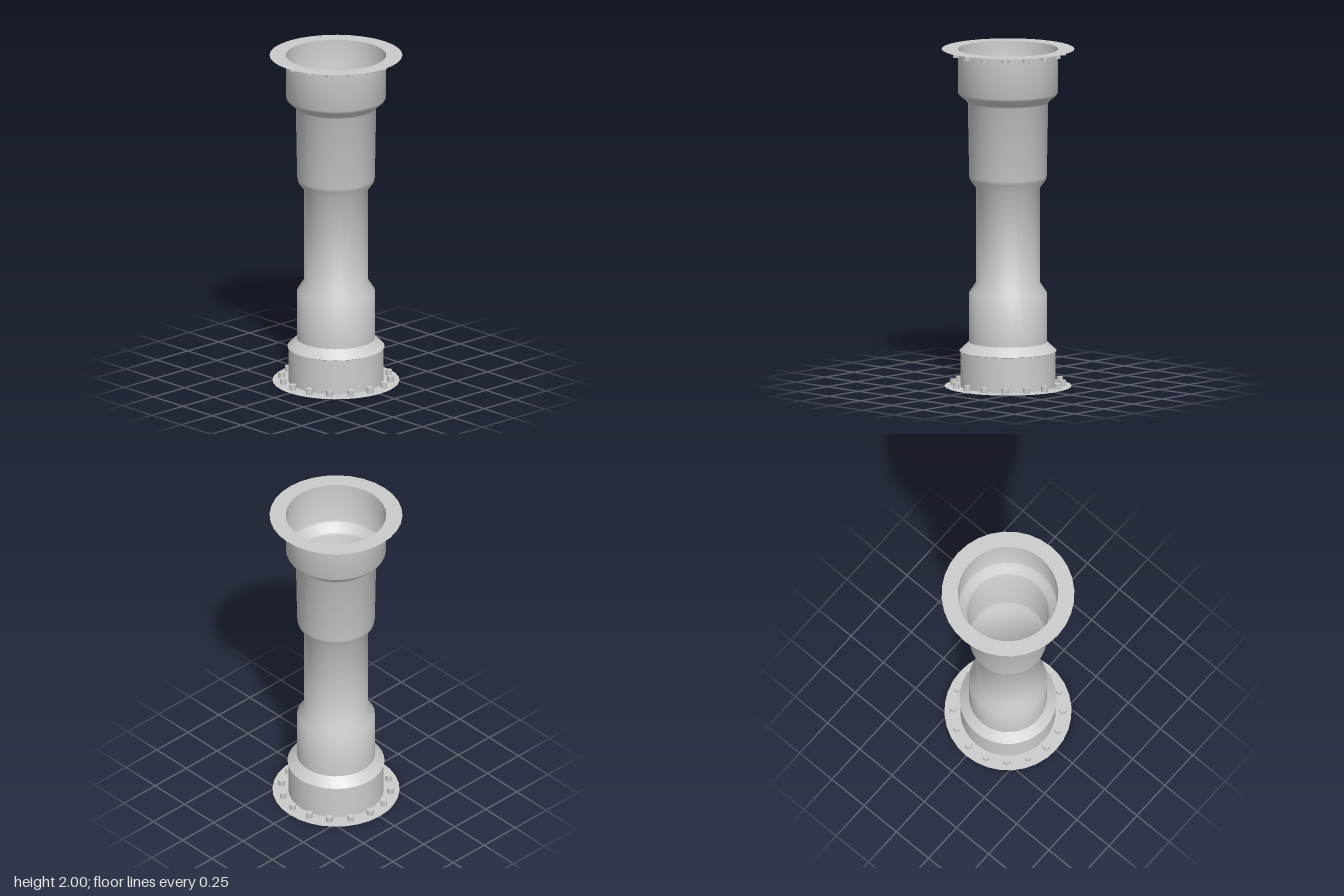
import * as THREE from 'three';
import { toCreasedNormals } from 'three/addons/utils/BufferGeometryUtils.js';

const SIDES = 32;
const BOLTS = 16;

export function createModel() {
  const model = new THREE.Group();
  model.name = 'flangedPipe';
  const solid = new THREE.MeshStandardMaterial({ color: 0xcccccc });
  const thin = new THREE.MeshStandardMaterial({ color: 0xcccccc, side: THREE.DoubleSide });

  const add = (name, geometry, material, parent = model) => {
    const mesh = new THREE.Mesh(geometry, material);
    mesh.name = name;
    parent.add(mesh);
    return mesh;
  };

  // Open, thin-walled pipe with stepped diameters, from bottom to top
  const profile = [
    [0.28, 0.0], [0.28, 0.207], [0.285, 0.21], [0.23, 0.262], [0.228, 0.555],
    [0.187, 0.617], [0.187, 1.175], [0.223, 1.225], [0.228, 1.247],
    [0.236, 1.68], [0.244, 1.694], [0.287, 1.73], [0.294, 1.745], [0.295, 2.0],
  ].map(([r, y]) => new THREE.Vector2(r, y));
  add('pipeWall', toCreasedNormals(new THREE.LatheGeometry(profile, SIDES), 0.7), thin);

  // Flat end flange with a ring of bolts on its pipe side
  const addFlange = (name, y, inner, outer, boltY) => {
    const group = new THREE.Group();
    group.name = name;
    model.add(group);

    const ring = new THREE.RingGeometry(inner, outer, SIDES);
    ring.rotateX(y > 1 ? -Math.PI / 2 : Math.PI / 2);
    add(name + 'Plate', ring, thin, group).position.y = y;

    const boltGeometry = toCreasedNormals(new THREE.CylinderGeometry(0.02, 0.02, 0.034, 8), 0.9);
    for (let i = 0; i < BOLTS; i++) {
      const a = (i / BOLTS) * Math.PI * 2 - 0.092;
      const bolt = add(name + 'Bolt', boltGeometry, solid, group);
      bolt.position.set(Math.sin(a) * 0.322, boltY, Math.cos(a) * 0.322);
      bolt.rotation.y = a;
    }
  };
  addFlange('topFlange', 2.0, 0.295, 0.39, 1.982);
  addFlange('bottomFlange', 0.0, 0.28, 0.373, 0.019);

  return model;
}
